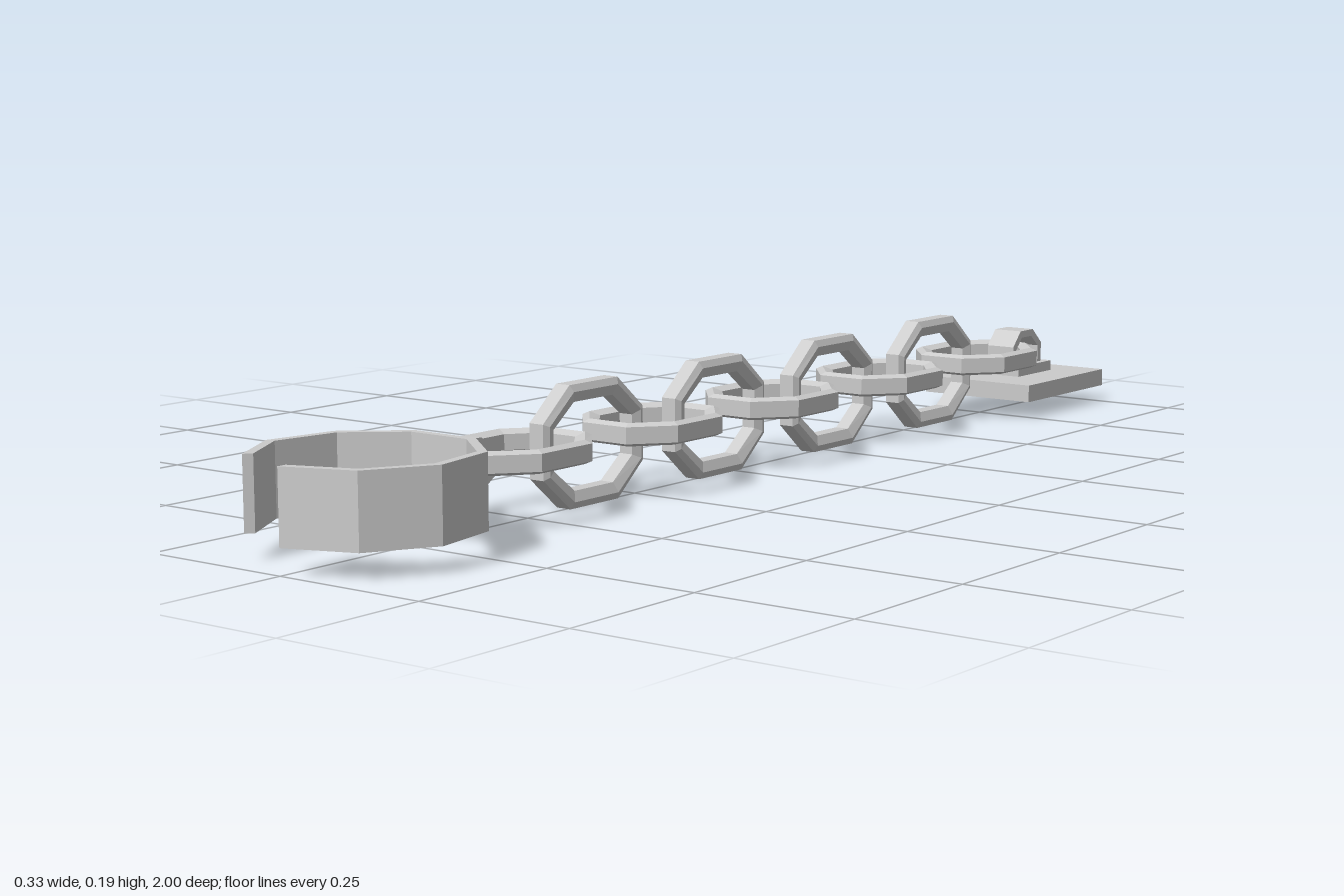
import * as THREE from 'three';

const material = new THREE.MeshStandardMaterial({ color: 0xcccccc, flatShading: true, side: THREE.DoubleSide });

function addMesh(parent, name, geometry, x = 0, y = 0, z = 0) {
  const mesh = new THREE.Mesh(geometry, material);
  mesh.name = name;
  mesh.position.set(x, y, z);
  parent.add(mesh);
  return mesh;
}

const extrude = (points, depth) => new THREE.ExtrudeGeometry(
  new THREE.Shape(points.map(([a, b]) => new THREE.Vector2(a, b))), { depth, bevelEnabled: false });

// Octagon with half width w, half length l; cw and cl are its corner positions
const octagon = (w, l, cw, cl) => [
  [w, -cl], [w, cl], [cw, l], [-cw, l], [-w, cl], [-w, -cl], [-cw, -l], [cw, -l],
];

// Chain link lying flat: a bevelled section carried around an octagon
function linkGeometry() {
  const outer = octagon(0.0935, 0.117, 0.042, 0.056);
  const inner = octagon(0.067, 0.092, 0.031, 0.045);
  // section: [0 = inner edge to 1 = outer edge, height]
  const section = [[0, -0.012], [0.6, -0.018], [1, -0.013], [1, 0.013], [0.6, 0.018], [0, 0.012]];
  const n = section.length;
  const positions = [], index = [];
  outer.forEach((o, j) => {
    section.forEach(([u, t], i) => {
      const p = inner[j];
      positions.push(p[0] + (o[0] - p[0]) * u, t, p[1] + (o[1] - p[1]) * u);
      const k = (j + 1) % outer.length, m = (i + 1) % n;
      const a = j * n + i, b = j * n + m, c = k * n + m, d = k * n + i;
      index.push(a, b, c, a, c, d);
    });
  });
  const geometry = new THREE.BufferGeometry();
  geometry.setAttribute('position', new THREE.Float32BufferAttribute(positions, 3));
  geometry.setIndex(index);
  const flat = geometry.toNonIndexed();
  flat.computeVertexNormals();
  return flat;
}

// Bent strip drawn in the z-y plane and extruded across x
function stripGeometry(outer, inner, width) {
  return extrude([...outer, ...inner.slice().reverse()], width)
    .rotateY(-Math.PI / 2).translate(width / 2, 0, 0);
}

// Nine-sided cuff with one side missing at the front
function cuffGeometry() {
  const arc = (r) => Array.from({ length: 9 }, (_, i) => {
    const a = THREE.MathUtils.degToRad(-140 + i * 40);
    return [r * Math.sin(a), -r * Math.cos(a)];
  });
  return extrude([...arc(0.168), ...arc(0.153).reverse()], 0.11).rotateX(Math.PI / 2);
}

export function createModel() {
  const model = new THREE.Group();
  model.name = 'shackleAndChain';

  // Cuff and the staple that joins it to the chain
  addMesh(model, 'cuff', cuffGeometry(), 0, 0.15, 0.832);
  addMesh(model, 'cuffStaple', stripGeometry(
    [[0.676, 0.14], [0.612, 0.138], [0.578, 0.116], [0.578, 0.082], [0.612, 0.06], [0.676, 0.058]],
    [[0.676, 0.13], [0.616, 0.127], [0.59, 0.11], [0.59, 0.088], [0.616, 0.071], [0.676, 0.068]],
    0.028), -0.002);

  // Chain: links alternate flat and upright
  const link = linkGeometry();
  const chain = new THREE.Group();
  chain.name = 'chain';
  model.add(chain);
  for (let i = 0; i < 9; i++) {
    const upright = i % 2 === 1;
    const mesh = addMesh(chain, upright ? 'uprightLink' : 'flatLink', link,
      -0.006, upright ? 0.0955 : 0.103, 0.512 - i * 0.1572);
    if (upright) mesh.rotation.z = Math.PI / 2;
  }

  // Wall plate with its raised pad and arched staple
  addMesh(model, 'wallPlate', new THREE.BoxGeometry(0.218, 0.03, 0.264), 0.002, 0.047, -0.868);
  addMesh(model, 'staplePad', new THREE.BoxGeometry(0.078, 0.018, 0.115), 0, 0.071, -0.877);
  addMesh(model, 'plateStaple', stripGeometry(
    [[-0.82, 0.075], [-0.82, 0.115], [-0.845, 0.142], [-0.888, 0.142], [-0.918, 0.115], [-0.918, 0.075]],
    [[-0.832, 0.075], [-0.832, 0.11], [-0.85, 0.13], [-0.883, 0.13], [-0.906, 0.11], [-0.906, 0.075]],
    0.054));

  return model;
}
